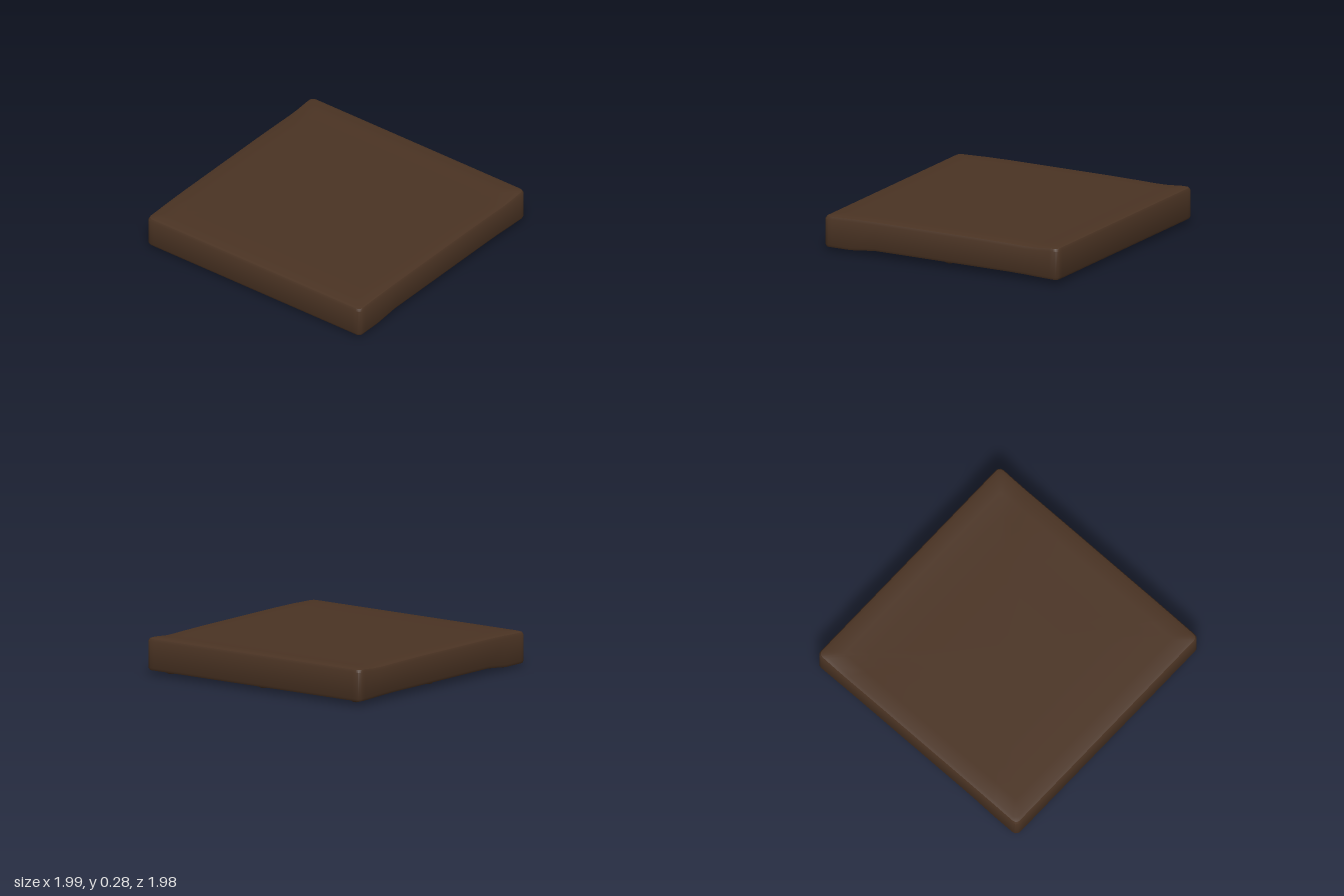
import * as THREE from 'three';
import { mergeVertices, toCreasedNormals } from 'three/addons/utils/BufferGeometryUtils.js';

const smooth = (v, a, b) => THREE.MathUtils.smoothstep(v, a, b);

// Points of one rounded rectangle, front edge first, running toward +x
function ring(hx, z0, z1, r) {
  const steps = [-0.9, -0.8, -0.7, -0.55, -0.3, 0, 0.3, 0.55, 0.728, 0.752, 0.9];
  const cz = (z0 + z1) / 2, hz = (z1 - z0) / 2, pts = [];
  for (let side = 0; side < 4; side++) {
    const sign = side < 2 ? 1 : -1, alongX = side % 2 === 0;
    // Side samples keep fixed positions so the worn shape stays even
    for (let k = 0; k < steps.length; k++) {
      if (alongX) pts.push([sign * steps[k] * (hx - r) / 0.93, cz + sign * hz]);
      else {
        const s = side === 1 ? steps[steps.length - 1 - k] : steps[k];
        pts.push([sign * hx, cz + (hz - r) * s / 0.93]);
      }
    }
    // Rounded corner
    const cx = side === 0 || side === 1 ? hx - r : r - hx;
    const cc = side === 0 || side === 3 ? cz + hz - r : cz - hz + r;
    for (let k = 0; k <= 3; k++) {
      const a = Math.PI / 2 - (side + k / 3) * Math.PI / 2;
      pts.push([cx + r * Math.cos(a), cc + r * Math.sin(a)]);
    }
  }
  return pts;
}

// Gentle unevenness of the top and the thicker front bar of the underside
function warp(z, y) {
  if (y > 0.2) {
    return y - 0.01 * smooth(z, 0.6, 0.99) - 0.006 * smooth(-z, 0.4, 0.75) + 0.013 * smooth(-z, 0.75, 0.95);
  }
  if (y < 0.1) return y - 0.022 * smooth(z, 0.72, 0.75) - 0.01 * smooth(-z, 0.6, 0.95);
  return y;
}

export function createModel() {
  const group = new THREE.Group();
  const brown = new THREE.MeshStandardMaterial({ color: 0x4a3323 });
  brown.name = 'dark brown';

  // Cross-sections from the recess ceiling, around the rim, to the middle of the top
  const rows = [
    [0.001, -0.001, 0.001, 0.0004, 0.13], [0.82, -0.79, 0.72, 0.005, 0.13],
    [0.82, -0.79, 0.72, 0.005, 0.052], [0.83, -0.8, 0.71 + 0.02, 0.01, 0.042],
    [0.96, -0.955, 0.955, 0.02, 0.041], [0.985, -0.98, 0.98, 0.03, 0.046],
    [0.995, -0.99, 0.99, 0.04, 0.065], [0.995, -0.99, 0.99, 0.04, 0.245],
    [0.985, -0.98, 0.98, 0.035, 0.264], [0.96, -0.955, 0.955, 0.03, 0.272],
    [0.85, -0.85, 0.85, 0.02, 0.272], [0.72, -0.72, 0.72, 0.02, 0.272],
    [0.5, -0.5, 0.5, 0.02, 0.273], [0.001, -0.001, 0.001, 0.0004, 0.274],
  ];
  const pos = [], index = [];
  rows.forEach(([hx, z0, z1, r, y]) => {
    for (const [x, z] of ring(hx, z0, z1, r)) pos.push(x, warp(z, y), z);
  });
  const n = pos.length / 3 / rows.length;
  for (let i = 0; i < rows.length - 1; i++) {
    for (let j = 0; j < n; j++) {
      const a = i * n + j, b = i * n + (j + 1) % n;
      index.push(a, b, b + n, a, b + n, a + n);
    }
  }
  let geo = new THREE.BufferGeometry();
  geo.setAttribute('position', new THREE.Float32BufferAttribute(pos, 3));
  geo.setIndex(index);
  geo = toCreasedNormals(mergeVertices(geo, 1e-5), 0.7);
  const slab = new THREE.Mesh(geo, brown);
  slab.name = 'hollowSlab';
  group.add(slab);

  // Small worn feet around the rim
  const footGeo = new THREE.SphereGeometry(1, 16, 10);
  for (const x of [-0.86, 0, 0.86]) {
    for (const z of [-0.86, 0, 0.86]) {
      if (x === 0 && z === 0) continue;
      const foot = new THREE.Mesh(footGeo, brown);
      foot.name = 'foot';
      const top = warp(z, 0.041);
      foot.scale.set(0.045, top, 0.05);
      foot.position.set(x, top, z);
      group.add(foot);
    }
  }
  return group;
}
